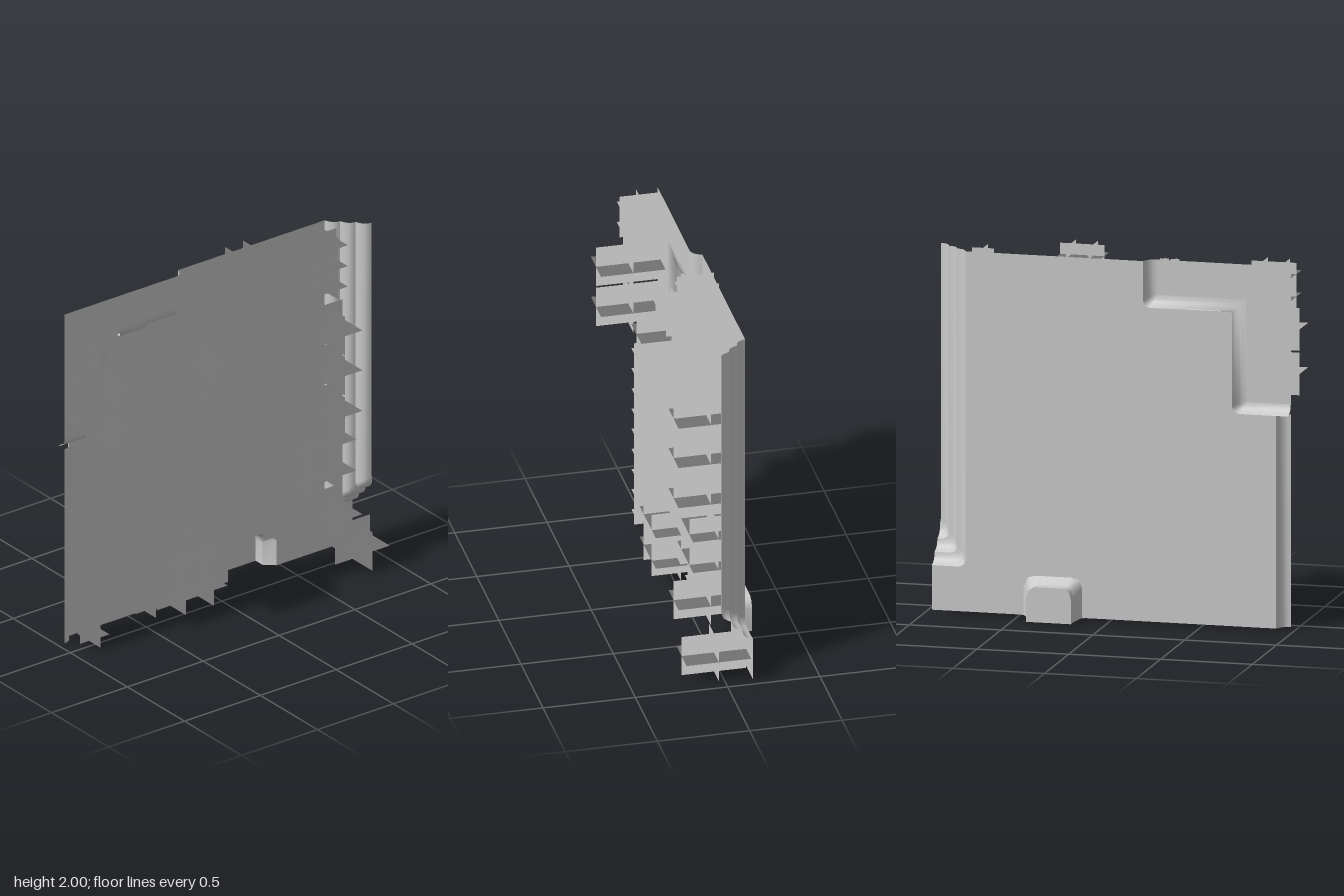
import * as THREE from 'three';
import { mergeGeometries } from 'three/addons/utils/BufferGeometryUtils.js';

const GROUND = -0.145, PLATEAU = -0.09;
const stone = new THREE.MeshStandardMaterial({ color: 0xcccccc, side: THREE.DoubleSide });
stone.name = 'plain grey';

function add(group, name, geometry) {
  const mesh = new THREE.Mesh(geometry, stone);
  mesh.name = name;
  group.add(mesh);
}

// Smooth skin between rows of [x, y, z] points
function loft(rows) {
  const n = rows[0].length, index = [];
  for (let r = 0; r < rows.length - 1; r++) {
    for (let i = 0; i < n - 1; i++) {
      const a = r * n + i, c = a + n;
      index.push(a, a + 1, c, a + 1, c + 1, c);
    }
  }
  const g = new THREE.BufferGeometry();
  g.setAttribute('position', new THREE.Float32BufferAttribute(rows.flat(2), 3));
  g.setIndex(index);
  g.computeVertexNormals();
  return g;
}

// Flat sheet with the given outline
function sheet(points, z) {
  const shape = new THREE.Shape(points.map(([x, y]) => new THREE.Vector2(x, y)));
  return new THREE.ShapeGeometry(shape).translate(0, 0, z);
}

const atHeight = (path, z) => path.map(([x, y]) => [x, y, z]);

// Three crossing cards; foliage normals follow the ground they grow on
function tuft(x, y, w, h, z0, z1, facing) {
  const d = z1 - z0;
  const cards = [
    new THREE.PlaneGeometry(w, h),
    new THREE.PlaneGeometry(d, h).rotateY(Math.PI / 2),
    new THREE.PlaneGeometry(w, d).rotateX(-facing * Math.PI / 2),
  ];
  const g = mergeGeometries(cards);
  const normal = g.attributes.normal;
  for (let i = 0; i < normal.count; i++) normal.setXYZ(i, 0, 0, 1);
  return g.translate(x + w / 2, y + h / 2, (z0 + z1) / 2);
}

function patch(x, y, columns, rows, cell, z0, z1, facing) {
  const parts = [];
  for (let i = 0; i < columns; i++) {
    for (let j = 0; j < rows; j++) {
      parts.push(tuft(x + i * cell, y + j * cell, cell, cell, z0, z1, facing));
    }
  }
  return mergeGeometries(parts);
}

export function createModel() {
  const model = new THREE.Group();
  model.name = 'landscapeTile';

  // Paths along the feet and tops of the banks
  const cliffFoot = [[-0.97, 1.155], [-0.70, 1.155], [-0.675, 1.165], [-0.665, 1.19],
    [-0.665, 1.70], [-0.21, 1.70], [-0.19, 1.71], [-0.18, 1.735], [-0.18, 1.95]];
  const cliffTop = [[-0.97, 1.21], [-0.74, 1.21], [-0.733, 1.213], [-0.73, 1.22],
    [-0.73, 1.76], [-0.25, 1.76], [-0.243, 1.763], [-0.24, 1.77], [-0.24, 1.95]];
  const terracePath = (d) => [[0.785 + d, 1.95], [0.785 + d, 0.29 + d], [0.795 + d, 0.262 + d],
    [0.82 + d, 0.25 + d], [0.97, 0.25 + d]].map(([x, y]) => [Math.min(x, 0.97), y]);
  const pitRim = [[0.15, 0.01], [0.15, 0.17], [0.165, 0.215], [0.21, 0.225],
    [0.40, 0.225], [0.445, 0.215], [0.47, 0.16], [0.47, 0.01]];
  const pitFloor = [[0.18, 0.0], [0.18, 0.13], [0.19, 0.17], [0.22, 0.19],
    [0.38, 0.19], [0.41, 0.17], [0.425, 0.13], [0.425, 0.0]];

  // Flat ground and raised corner
  add(model, 'ground', sheet([[-0.905, 0.01], ...pitRim, [0.97, 0.01],
    ...terracePath(0).reverse(), ...[...cliffFoot].reverse(), [-0.905, 1.155]], GROUND));
  add(model, 'plateau', sheet([...cliffTop, [-0.97, 1.95]], PLATEAU));

  // Rounded banks: [distance across, rise]
  const round = [[0, 0], [0.15, 0.4], [0.4, 0.78], [0.7, 0.95], [1, 1]];
  add(model, 'cliff', loft(round.map(([t, rise]) => cliffFoot.map(([x, y], i) => [
    x + (cliffTop[i][0] - x) * t, y + (cliffTop[i][1] - y) * t,
    GROUND + (PLATEAU - GROUND) * rise]))));
  add(model, 'leftBank', loft(round.map(([t, rise]) => [0.01, 1.155].map((y) => [
    -0.905 - 0.065 * t, y, GROUND + (PLATEAU - GROUND) * rise]))));
  for (let k = 0; k < 3; k++) {
    add(model, 'terrace' + (k + 1), loft(round.map(([t, rise]) =>
      atHeight(terracePath(0.06 * (k + t)), GROUND + 0.057 * (k + rise)))));
  }

  // Sunken entrance
  add(model, 'pitWall', loft([atHeight(pitFloor, -0.27), atHeight(pitFloor, -0.21)]));
  add(model, 'pitFlare', loft([atHeight(pitFloor, -0.21), atHeight(pitRim, GROUND)]));
  add(model, 'pitFloor', sheet(pitFloor, -0.27));
  add(model, 'pitSurround', sheet([[0.14, 0.01], [0.14, 0.25], [0.48, 0.25], [0.48, 0.01],
    ...[...pitRim].reverse()], GROUND - 0.006));

  // Steep step set in the cliff
  add(model, 'cliffStep', loft([
    [[-0.605, 1.702, GROUND], [-0.43, 1.702, GROUND]],
    [[-0.605, 1.712, -0.09], [-0.43, 1.712, -0.09]],
    [[-0.605, 1.76, -0.086], [-0.43, 1.76, -0.086]]]));

  // Trees
  const trees = [[0.54, 0.25], [0.54, 0.86], [0.54, 1.10], [0.54, 1.335], [0.72, 0.01], [-0.305, 1.40]];
  for (const [x, y] of trees) add(model, 'tree', tuft(x, y, 0.228, 0.228, -0.14, 0.21, -1));
  for (const y of [1.22, 1.46]) add(model, 'plateauTree', tuft(-0.97, y, 0.23, 0.23, -0.08, 0.27, -1));

  // Shrubs
  for (const [x, y] of [[-0.43, 0.075], [0.42, 0.495]]) {
    add(model, 'shrubs', patch(x, y, 2, 2, 0.183, -0.14, 0.135, -1));
  }

  // Tall grass: x, y, columns, rows
  const grass = [[-0.91, 0.01, 1, 9], [-0.545, 0.075, 1, 5], [0.30, 0.25, 1, 3],
    [0.54, 1.585, 2, 2], [0.66, 1.829, 1, 1], [0.06, 1.88, 2, 1],
    [-0.425, 1.40, 4, 2], [-0.303, 1.28, 2, 1], [-0.181, 1.16, 1, 1],
    [-0.181, 1.642, 1, 1], [0.06, 1.46, 2, 1]];
  for (const [x, y, columns, rows] of grass) {
    add(model, 'grass', patch(x, y, columns, rows, 0.1205, -0.135, 0.065, 1));
  }
  add(model, 'plateauGrass', patch(-0.97, 1.705, 2, 2, 0.1215, -0.08, 0.13, 1));

  // Small flowers
  for (const x of [-0.175, -0.117]) {
    for (const y of [1.005, 1.068]) add(model, 'flower', tuft(x, y, 0.05, 0.03, GROUND, -0.13, 1));
    add(model, 'plateauFlower', tuft(x - 0.18, 1.92, 0.05, 0.03, -0.085, -0.02, 1));
  }
  return model;
}
